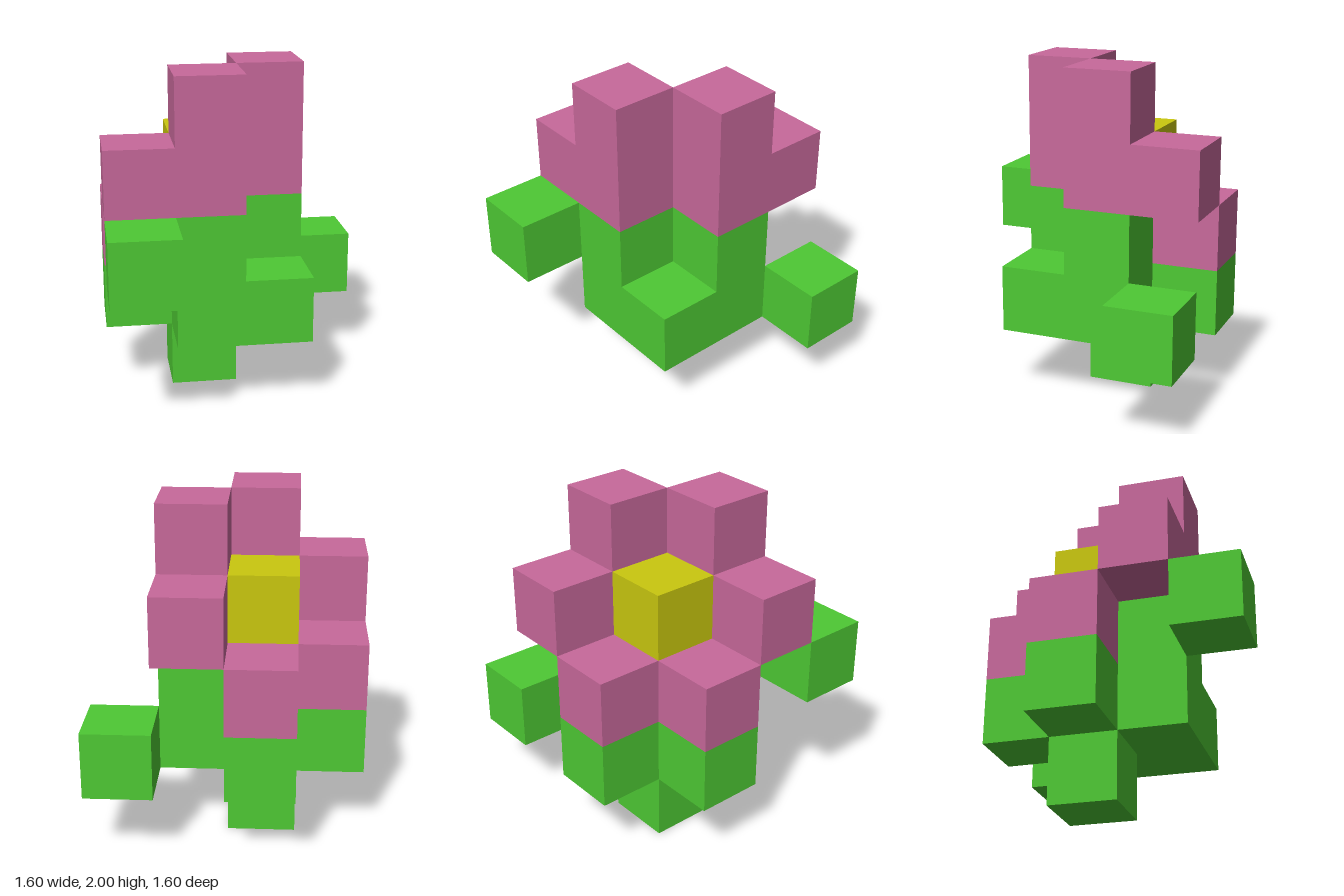
import * as THREE from 'three';

const U = 0.4; // edge length of one block

export function createModel() {
  const mat = (name, color) => {
    const m = new THREE.MeshStandardMaterial({ color });
    m.name = name;
    return m;
  };
  const green = mat('leaf green', 0x4ec934);
  const pink = mat('petal pink', 0xc8699b);
  const yellow = mat('pollen yellow', 0xcac80f);

  const flower = new THREE.Group();
  flower.name = 'blockFlower';

  // Box from its lowest grid corner (x, y, z) and its size in blocks
  function block(name, material, [x, y, z], [w, h, d] = [1, 1, 1]) {
    const mesh = new THREE.Mesh(new THREE.BoxGeometry(w * U, h * U, d * U), material);
    mesh.name = name;
    mesh.position.set((x + w / 2 - 2) * U, (y + h / 2) * U, (z + d / 2 - 2) * U);
    flower.add(mesh);
  }

  // Stem and the green cup above it
  block('stem', green, [1, 0, 1]);
  block('cupBase', green, [1, 1, 1], [2, 1, 2]);
  block('cupFront', green, [1, 2, 1], [1, 1, 2]);
  block('cupSide', green, [2, 2, 1]);
  block('cupBack', green, [1, 1, 0]);
  block('cupRight', green, [0, 1, 1]);

  // Leaves that touch the cup along an edge
  block('leafFront', green, [0, 2, 3]);
  block('leafBack', green, [3, 1, 0]);

  // Tilted ring of petals: two low, two middle, two tall
  block('petalLowBack', pink, [1, 2, 0]);
  block('petalLowRight', pink, [0, 2, 1]);
  block('petalMiddleBack', pink, [2, 3, 0]);
  block('petalMiddleRight', pink, [0, 3, 2]);
  block('petalTallFront', pink, [1, 3, 2], [1, 2, 1]);
  block('petalTallLeft', pink, [2, 3, 1], [1, 2, 1]);

  // Flower centre
  block('flowerCentre', yellow, [1, 3, 1]);

  return flower;
}
